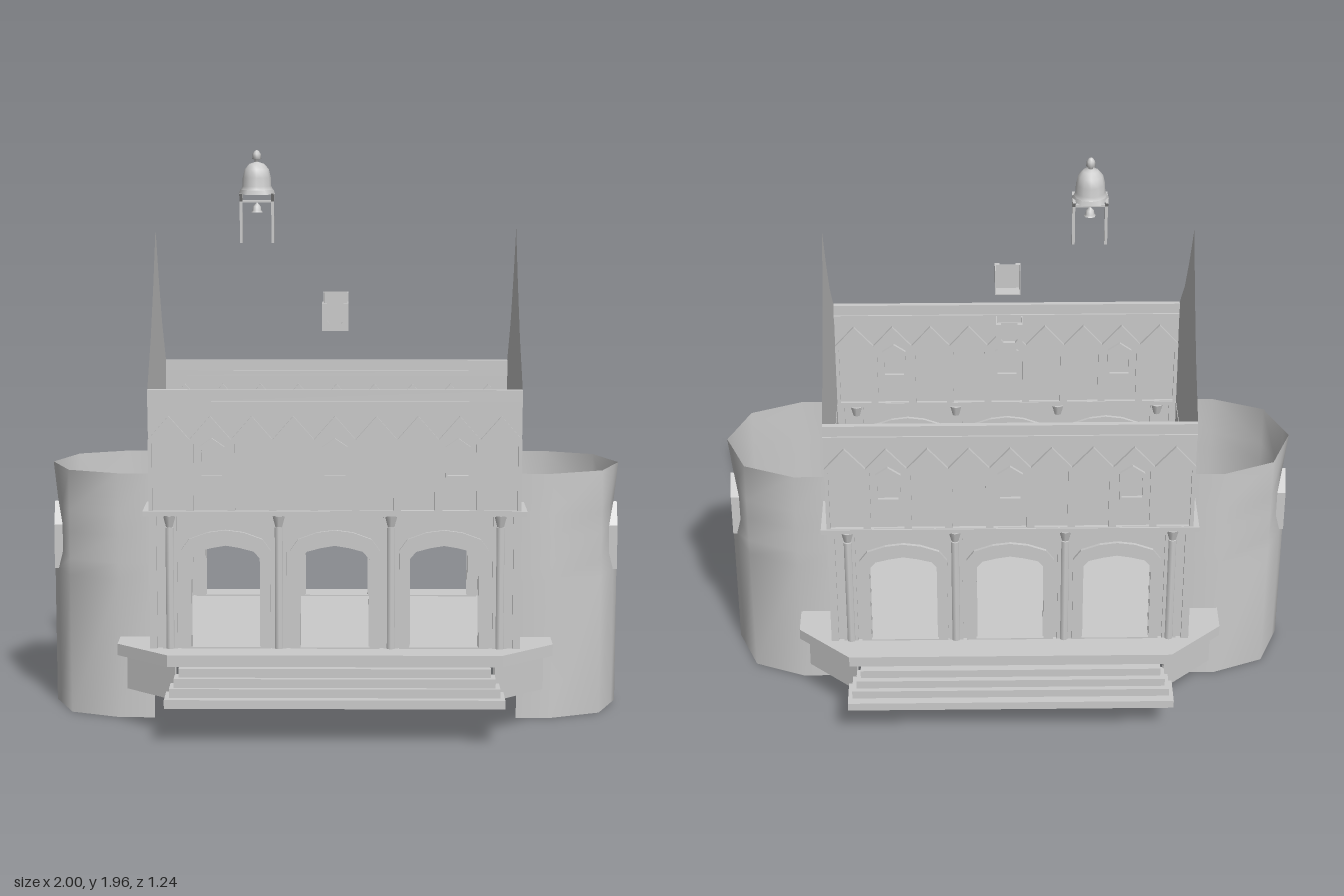
import * as THREE from 'three';

const mat = new THREE.MeshStandardMaterial({ color: 0xcccccc, side: THREE.DoubleSide });

function add(parent, name, geo, x = 0, y = 0, z = 0) {
  const m = new THREE.Mesh(geo, mat);
  m.name = name;
  m.position.set(x, y, z);
  parent.add(m);
  return m;
}
const box = (w, h, d) => new THREE.BoxGeometry(w, h, d);
const vecs = (pts) => pts.map(([x, y]) => new THREE.Vector2(x, y));

// Flat outline with holes, extruded to a depth centred on z = 0
function plate(outline, depth, holes = []) {
  const s = new THREE.Shape(vecs(outline));
  for (const h of holes) s.holes.push(new THREE.Path(vecs(h)));
  return new THREE.ExtrudeGeometry(s, { depth, bevelEnabled: false }).translate(0, 0, -depth / 2);
}
// Ground-plan outline (x, z) raised to a height centred on y = 0
const plan = (outline, height) => plate(outline, height).rotateX(Math.PI / 2);
const rect = (x0, x1, y0, y1) => [[x0, y0], [x1, y0], [x1, y1], [x0, y1]];
const octagon = (x, z, cx, cz) => [[x, -cz], [x, cz], [cx, z], [-cx, z], [-x, cz], [-x, -cz], [-cx, -z], [cx, -z]];

// Flattened arch opening: half width, base, spring line, top
const arch = (c, w, y0, y1, y2) => [
  [c - w, y0], [c + w, y0], [c + w, y1], [c + w * 0.82, y1 + (y2 - y1) * 0.55], [c + w * 0.4, y2 - 0.008],
  [c, y2], [c - w * 0.4, y2 - 0.008], [c - w * 0.82, y1 + (y2 - y1) * 0.55], [c - w, y1]];
// Pointed opening
const pointed = (c, w, y0, y1, y2) => [[c - w, y0], [c + w, y0], [c + w, y1], [c, y2], [c - w, y1]];

// Flat pier with a slim round shaft and a flared cap, its foot set through the floor
function column(parent, x, z) {
  add(parent, 'pier', box(0.05, 0.515, 0.024), x, 0.4925, z);
  add(parent, 'columnShaft', new THREE.CylinderGeometry(0.016, 0.016, 0.42, 8), x, 0.5, z + 0.006);
  add(parent, 'columnCap', new THREE.CylinderGeometry(0.026, 0.016, 0.04, 8), x, 0.73, z);
}

// Hollow dormer with a notched face, open at the back
function dormer(parent) {
  for (const x of [-0.043, 0.043]) add(parent, 'dormerSide', box(0.004, 0.095, 0.06), x, 1.4025, 0.19);
  add(parent, 'dormerFloor', box(0.09, 0.004, 0.06), 0, 1.357, 0.19);
  add(parent, 'dormerWindow', box(0.06, 0.095, 0.004), 0, 1.4025, 0.206);
  add(parent, 'dormerFace', plate([[-0.045, 1.355], [0.045, 1.355], [0.045, 1.45], [0.028, 1.45], [0.028, 1.39],
    [0.02, 1.38], [-0.02, 1.38], [-0.028, 1.39], [-0.028, 1.45], [-0.045, 1.45]], 0.015), 0, 0, 0.2125);
}

// One long side: arcaded wall, gabled panels, cornice, steps and dormer
function longSide() {
  const g = new THREE.Group();
  g.name = 'longSide';
  const z = 0.414, centres = [-0.37, 0, 0.37];
  add(g, 'arcadeWall', plate(rect(-0.63, 0.63, 0.26, 1.15), 0.006,
    centres.map((c) => arch(c, 0.115, 0.29, 0.6, 0.645))), 0, 0, z);
  for (const c of centres) {
    add(g, 'archMoulding', plate(arch(c, 0.152, 0.29, 0.63, 0.7), 0.028,
      [arch(c, 0.118, 0.295, 0.6, 0.647)]), 0, 0, z);
  }
  for (const x of [-0.56, -0.19, 0.19, 0.56]) column(g, x, z);
  for (const x of [-0.617, 0.617]) add(g, 'cornerPier', box(0.026, 0.46, 0.028), x, 0.52, z);

  // Zigzag panel band with nine pointed bays
  const outline = [[-0.63, 0.765], [0.63, 0.765]], bays = [];
  for (let i = 4; i >= -4; i--) {
    const c = i * 0.14;
    outline.push([c + 0.07, 1.01], [c, 1.09]);
    bays.push(pointed(c, 0.057, 0.768, 0.995, 1.062));
  }
  outline.push([-0.63, 1.01]);
  add(g, 'gabledPanels', plate(outline, 0.028, bays), 0, 0, z);

  for (const x of [-0.415, 0, 0.415]) {
    add(g, 'blindWindow', plate(pointed(x, 0.043, 0.88, 0.985, 1.015), 0.028,
      [arch(x, 0.035, 0.888, 0.966, 1.003)]), 0, 0, z);
  }
  add(g, 'stringCourse', box(1.3, 0.018, 0.034), 0, 0.757, 0.416);

  // Cornice
  add(g, 'corniceLower', box(1.26, 0.018, 0.03), 0, 1.13, z);
  add(g, 'corniceUpper', box(1.26, 0.042, 0.018), 0, 1.157, z);

  // Hollow steps: a riser turned back at both ends, under a tread
  const t = 0.004;
  [[0.57, 0.62], [0.555, 0.59], [0.54, 0.572], [0.525, 0.552]].forEach(([x, zf], i) => {
    const y = 0.13 + i * 0.03;
    add(g, 'riser', plan([[-x, 0.505], [-x, zf], [x, zf], [x, 0.505], [x - t, 0.505], [x - t, zf - t],
      [t - x, zf - t], [t - x, 0.505]], 0.03), 0, y + 0.015, 0);
    add(g, 'tread', box(2 * x, t, zf - 0.505), 0, y + 0.028, (zf + 0.505) / 2);
  });

  dormer(g);
  return g;
}

// Open tower shell, dented around a pointed window cut through its outer corner
function towerShell() {
  const half = [[0.63, 0.25], [0.75, 0.25], [0.927, 0.177], [0.983, 0.04]];
  const path = [...half, [1, 0], ...half.map(([x, z]) => [x, -z]).reverse()];
  const rows = [0, 0.49, 0.55, 0.645, 0.72, 0.865], n = path.length, pos = [], idx = [];
  rows.forEach((y, r) => path.forEach(([x, z], c) => {
    const dent = r >= 2 && r <= 4 && c >= 3 && c <= 5 ? 0.015 : 0;
    pos.push(x - dent, y, z);
  }));
  for (let r = 0; r < rows.length - 1; r++) {
    for (let c = 0; c < n - 1; c++) {
      const a = r * n + c, b = a + 1, d = a + n, e = d + 1;
      const inWindow = c === 3 || c === 4;
      if (inWindow && (r === 1 || r === 2)) continue;
      if (inWindow && r === 3) idx.push(...(c === 3 ? [a, e, d] : [b, e, d]));
      else idx.push(a, b, e, a, e, d);
    }
  }
  const geo = new THREE.BufferGeometry();
  geo.setAttribute('position', new THREE.Float32BufferAttribute(pos, 3));
  geo.setIndex(idx);
  geo.computeVertexNormals();
  return geo;
}

// One end: gable wall, tower, base skirt and string course
function endSide() {
  const g = new THREE.Group();
  g.name = 'endSide';
  const slope = [[0.414, 0.26], [0.416, 1.18], [0.33, 1.26], [0.25, 1.335], [0.12, 1.505]];
  const gable = new THREE.Shape(vecs([...slope, [0, 1.69], ...slope.map(([x, y]) => [-x, y]).reverse()]));
  add(g, 'gableWall', new THREE.ShapeGeometry(gable).rotateY(Math.PI / 2), 0.63);
  add(g, 'stringCourse', box(0.022, 0.018, 0.86), 0.639, 0.757, 0);
  add(g, 'tower', towerShell());
  add(g, 'towerWindowFrame', plate(pointed(0, 0.042, 0.488, 0.645, 0.725), 0.034,
    [pointed(0, 0.033, 0.5, 0.64, 0.705)]).rotateY(Math.PI / 2), 0.98);
  add(g, 'baseSkirt', plan([[0.54, 0.51], [0.715, 0.35], [0.715, -0.35], [0.54, -0.51],
    [0.535, -0.505], [0.709, -0.347], [0.709, 0.347], [0.535, 0.505]], 0.12), 0, 0.19, 0);
  return g;
}

// Small bell turret on two posts
function bellTurret() {
  const g = new THREE.Group();
  g.name = 'bellTurret';
  for (const x of [-0.055, 0.055]) {
    add(g, 'post', box(0.01, 0.17, 0.014), x, 1.725, 0);
    add(g, 'bracket', plate([[-0.01, 1.785], [0.01, 1.785], [0.045, 1.815], [-0.045, 1.815]], 0.01)
      .rotateY(Math.PI / 2), x);
  }
  add(g, 'beam', box(0.11, 0.008, 0.012), 0, 1.785, 0);
  add(g, 'canopyBase', new THREE.CylinderGeometry(0.058, 0.064, 0.016, 6), 0, 1.818, 0).rotation.y = Math.PI / 6;
  add(g, 'dome', new THREE.LatheGeometry(vecs([[0.056, 1.826], [0.05, 1.838], [0.049, 1.868],
    [0.042, 1.897], [0.026, 1.915], [0, 1.924]]), 12));
  add(g, 'finial', new THREE.LatheGeometry(vecs([[0.007, 1.918], [0.007, 1.93], [0.016, 1.932],
    [0.014, 1.95], [0.007, 1.96], [0, 1.963]]), 8));
  add(g, 'bell', new THREE.LatheGeometry(vecs([[0.02, 1.747], [0.015, 1.754], [0.013, 1.768], [0, 1.782]]), 8));
  g.position.x = -0.275;
  return g;
}

export function createModel() {
  const model = new THREE.Group();
  model.name = 'chapel';

  add(model, 'floorSlab', plan(octagon(0.747, 0.525, 0.565, 0.36), 0.04), 0, 0.27, 0);

  // Matching opposite sides
  for (const turn of [0, Math.PI]) {
    for (const part of [longSide(), endSide()]) {
      part.rotation.y = turn;
      model.add(part);
    }
  }
  model.add(bellTurret());
  return model;
}
